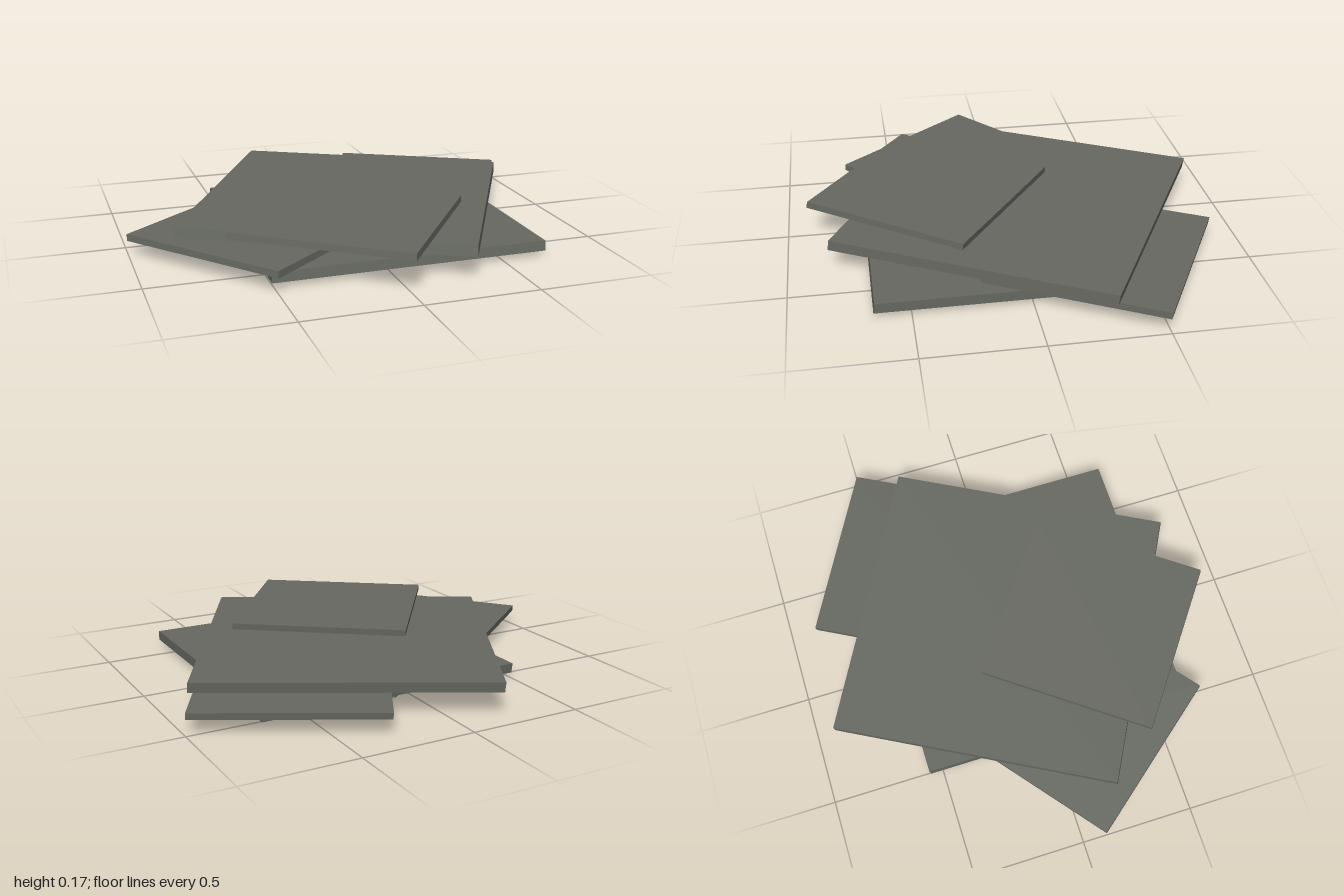
import * as THREE from 'three';

export function createModel() {
  const group = new THREE.Group();
  const stone = new THREE.MeshStandardMaterial({ color: 0x666861 });
  stone.name = 'grey stone';

  // slight lean: the underside of each slab sits a little further forward
  const lean = new THREE.Matrix4().set(
    1, 0, 0, 0,
    0, 1, 0, 0,
    0, -0.13, 1, 0,
    0, 0, 0, 1);

  // square slab: name, side, bottom y, top y, centre x, centre z, turn about y
  const slabs = [
    ['footSlab', 0.7, 0, 0.02, 0.045, -0.037, 0.725],
    ['baseSlab', 1.21, 0.021, 0.065, 0.097, 0.047, 0],
    ['leftMiddleSlab', 0.8, 0.067, 0.096, 0.455, -0.335, -0.497],
    ['rightMiddleSlab', 0.8, 0.067, 0.096, -0.44, 0.16, 0.68],
    ['largeUpperSlab', 1.277, 0.097, 0.142, 0.048, -0.045, -0.497],
    ['topSlab', 0.8, 0.146, 0.175, -0.08, 0.346, -0.635],
  ];
  for (const [name, side, y0, y1, x, z, turn] of slabs) {
    const geometry = new THREE.BoxGeometry(side, y1 - y0, side);
    geometry.rotateY(turn).applyMatrix4(lean);
    const slab = new THREE.Mesh(geometry, stone);
    slab.name = name;
    slab.position.set(x, (y0 + y1) / 2, z);
    group.add(slab);
  }
  return group;
}
